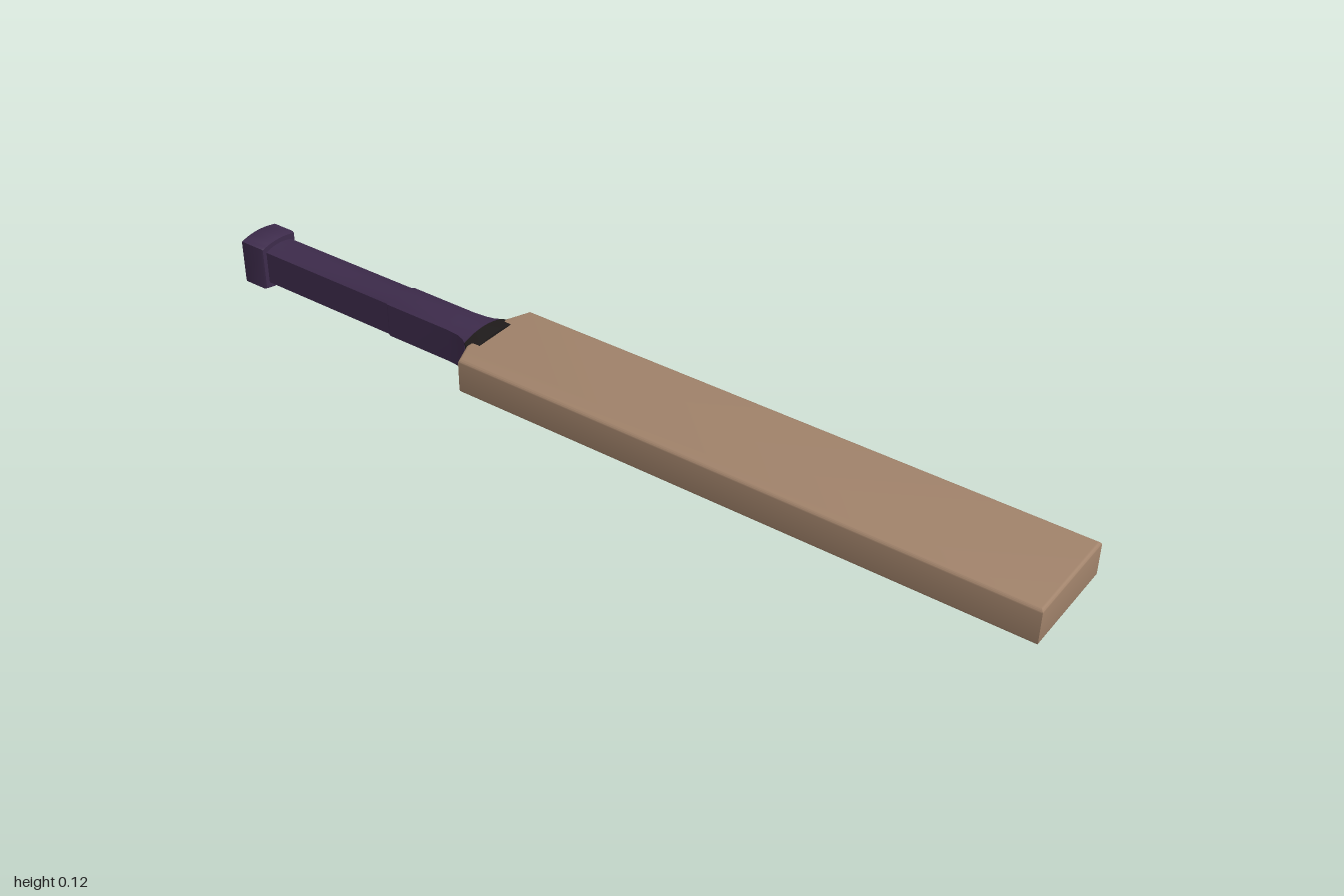
import * as THREE from 'three';
import { toCreasedNormals } from 'three/addons/utils/BufferGeometryUtils.js';

const MID = 0.06; // height of the long axis
const ARC = 10;   // segments across each curved face

// Section with flat sides and gently domed top and bottom, counter-clockwise seen from +z
function section([z, w, edge, crown]) {
  const ring = [];
  for (const s of [1, -1]) {
    for (let i = 0; i <= ARC; i++) {
      const t = 1 - (2 * i) / ARC;
      ring.push([s * t * w, MID + s * (edge + (crown - edge) * (1 - t * t)), z]);
    }
  }
  return ring;
}

// Closed loft through sections [z, halfWidth, edgeHalfHeight, crownHalfHeight], z increasing
function loft(rows) {
  const rings = rows.map(section);
  const n = rings[0].length;
  const pos = [];
  const tri = (...p) => p.forEach((q) => pos.push(...q));
  for (let i = 0; i < rings.length - 1; i++) {
    for (let j = 0; j < n; j++) {
      const k = (j + 1) % n;
      const [a, b, c, d] = [rings[i][j], rings[i][k], rings[i + 1][j], rings[i + 1][k]];
      tri(a, b, c);
      tri(b, d, c);
    }
  }
  const first = rings[0], last = rings[rings.length - 1];
  for (let j = 0; j < n; j++) {
    const k = (j + 1) % n;
    tri([0, MID, first[0][2]], first[k], first[j]);
    tri([0, MID, last[0][2]], last[j], last[k]);
  }
  const g = new THREE.BufferGeometry();
  g.setAttribute('position', new THREE.Float32BufferAttribute(pos, 3));
  g.computeVertexNormals();
  return toCreasedNormals(g, 0.5);
}

// Flat blade with sloped shoulders and softened edges
function bladeGeometry() {
  const outline = [[-0.118, 1], [-0.118, -0.31], [-0.065, -0.332], [0.065, -0.332], [0.118, -0.31], [0.118, 1]];
  const shape = new THREE.Shape(outline.map(([x, z]) => new THREE.Vector2(x, z)));
  const b = 0.007;
  const g = new THREE.ExtrudeGeometry(shape, {
    depth: 0.08 - 2 * b, bevelEnabled: true, bevelThickness: b, bevelSize: b, bevelOffset: -b, bevelSegments: 4,
  });
  g.rotateX(Math.PI / 2);
  g.translate(0, 0.1 - b, 0);
  return toCreasedNormals(g, 0.6);
}

export function createModel() {
  const group = new THREE.Group();
  const add = (name, geometry, color) => {
    const mesh = new THREE.Mesh(geometry, new THREE.MeshStandardMaterial({ color }));
    mesh.name = name;
    group.add(mesh);
  };

  add('blade', bladeGeometry(), 0xa0826a);

  // Dark collar where the grip meets the shoulders
  add('collar', loft([
    [-0.345, 0.056, 0.037, 0.046],
    [-0.332, 0.067, 0.036, 0.046],
    [-0.308, 0.067, 0.036, 0.046],
  ]), 0x1f1b1b);

  // Grip, slightly thicker near the blade and flared at its root
  add('grip', loft([
    [-0.94, 0.039, 0.038, 0.045],
    [-0.575, 0.040, 0.038, 0.046],
    [-0.57, 0.043, 0.039, 0.047],
    [-0.4, 0.043, 0.039, 0.047],
    [-0.37, 0.046, 0.039, 0.047],
    [-0.355, 0.051, 0.038, 0.047],
    [-0.344, 0.058, 0.037, 0.047],
  ]), 0x3d2b4b);

  // Knob closing the end of the grip
  add('knob', loft([
    [-1, 0.049, 0.049, 0.056],
    [-0.996, 0.051, 0.051, 0.058],
    [-0.94, 0.051, 0.051, 0.058],
    [-0.935, 0.049, 0.049, 0.056],
  ]), 0x3d2b4b);

  return group;
}
